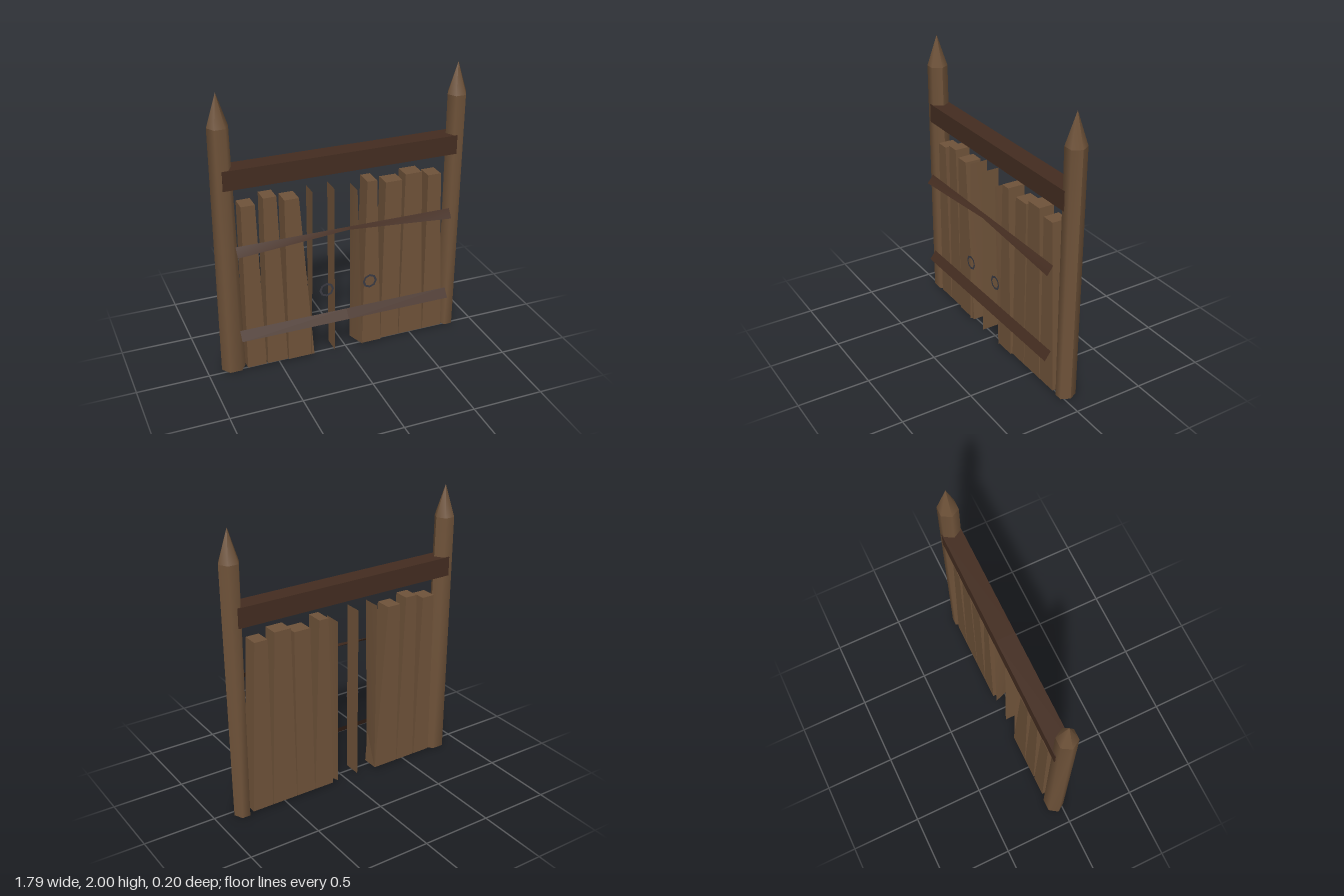
import * as THREE from 'three';

const wood = new THREE.MeshStandardMaterial({ color: 0x6e5239, side: THREE.DoubleSide });
const darkWood = new THREE.MeshStandardMaterial({ color: 0x432c20, side: THREE.DoubleSide });
const iron = new THREE.MeshStandardMaterial({ color: 0x3a3a42, side: THREE.DoubleSide });

function add(parent, name, geometry, material) {
  const mesh = new THREE.Mesh(geometry, material);
  mesh.name = name;
  parent.add(mesh);
  return mesh;
}

// Thin sheet between two edges, each a list of matching [x, y, z] points
function sheet(edgeA, edgeB) {
  const geometry = new THREE.PlaneGeometry(1, 1, edgeA.length - 1, 1);
  [...edgeA, ...edgeB].forEach((p, i) => geometry.attributes.position.setXYZ(i, ...p));
  geometry.computeVertexNormals();
  return geometry;
}

// Upright board whose left and right edges differ between bottom and top
function board(bottomL, bottomR, topL, topR, height, front) {
  const geometry = new THREE.BoxGeometry(1, 1, 1);
  const pos = geometry.attributes.position;
  for (let i = 0; i < pos.count; i++) {
    const top = pos.getY(i) > 0, right = pos.getX(i) > 0;
    const x = top ? (right ? topR : topL) : (right ? bottomR : bottomL);
    pos.setXYZ(i, x, top ? height : 0.012, pos.getZ(i) > 0 ? front : -0.09);
  }
  geometry.computeVertexNormals();
  return geometry;
}

// Six-sided post, with its own centre and half width at the foot, and a pointed cap
function post(name, topX, footX, footHalf) {
  const group = new THREE.Group();
  group.name = name;
  const shaft = new THREE.CylinderGeometry(0.07, 0.07, 1.78, 6, 1, true, Math.PI / 2);
  shaft.translate(0, 0.89, 0);
  const pos = shaft.attributes.position;
  for (let i = 0; i < pos.count; i++) {
    const foot = pos.getY(i) < 0.5;
    pos.setX(i, foot ? footX + pos.getX(i) * footHalf / 0.07 : topX + pos.getX(i));
  }
  shaft.computeVertexNormals();
  add(group, 'postShaft', shaft, wood);
  const cap = new THREE.ConeGeometry(0.07, 0.22, 6, 1, true, Math.PI / 2);
  add(group, 'postPoint', cap, wood).position.set(topX, 1.89, 0);
  const foot = new THREE.CircleGeometry(0.07, 6);
  foot.rotateX(Math.PI / 2);
  foot.scale(footHalf / 0.07, 1, 1);
  add(group, 'postFoot', foot, wood).position.set(footX, 0.001, 0);
  group.position.z = -0.04;
  return group;
}

export function createModel() {
  const gate = new THREE.Group();
  gate.name = 'gate';

  gate.add(post('rightPost', -0.83, -0.815, 0.085), post('leftPost', 0.82, 0.812, 0.058));

  // Lintel across both posts
  add(gate, 'lintel', new THREE.BoxGeometry(1.64, 0.135, 0.132, 2, 1, 1), darkWood)
    .position.set(-0.014, 1.435, -0.041);

  // Tapered boards: bottom left/right, top left/right, height, front depth
  const boards = [
    [-0.73, -0.595, -0.725, -0.63, 1.24, 0.022],
    [-0.585, -0.44, -0.575, -0.485, 1.275, 0.022],
    [-0.435, -0.245, -0.435, -0.335, 1.24, 0.03],
    [0.115, 0.26, 0.145, 0.215, 1.275, 0.035],
    [0.265, 0.405, 0.285, 0.405, 1.24, 0.022],
    [0.41, 0.595, 0.43, 0.55, 1.275, 0.022],
    [0.6, 0.75, 0.6, 0.695, 1.24, 0.022],
  ];
  boards.forEach((b, i) => add(gate, `board${i + 1}`, board(...b), wood));

  // Edge-on slats in the opening: back x, front foot x, height
  [[-0.245, -0.27, 1.27], [-0.095, -0.095, 1.27], [0.07, 0.115, 1.23]].forEach(([x, footX, h], i) =>
    add(gate, `slat${i + 1}`, sheet(
      [[x, h, -0.085], [x, h, 0.045]],
      [[x, 0.012, -0.085], [footX, 0.012, 0.045]]), wood));

  // Leaning crossbars; the middle one twists flat at its centre
  const xs = [-0.78, -0.01, 0.755];
  const crossbar = (name, top, drops) => add(gate, name, sheet(
    xs.map(x => [x, top, 0.05]),
    xs.map((x, i) => [x, top - drops[i], 0.094])), darkWood);
  crossbar('middleCrossbar', 0.977, [0.06, 0, 0.06]);
  crossbar('lowerCrossbar', 0.34, [0.062, 0.062, 0.062]);

  // Ring handles
  for (const x of [-0.172, 0.146]) {
    add(gate, 'ringHandle', new THREE.RingGeometry(0.037, 0.053, 8), iron).position.set(x, 0.55, 0.092);
  }
  return gate;
}
